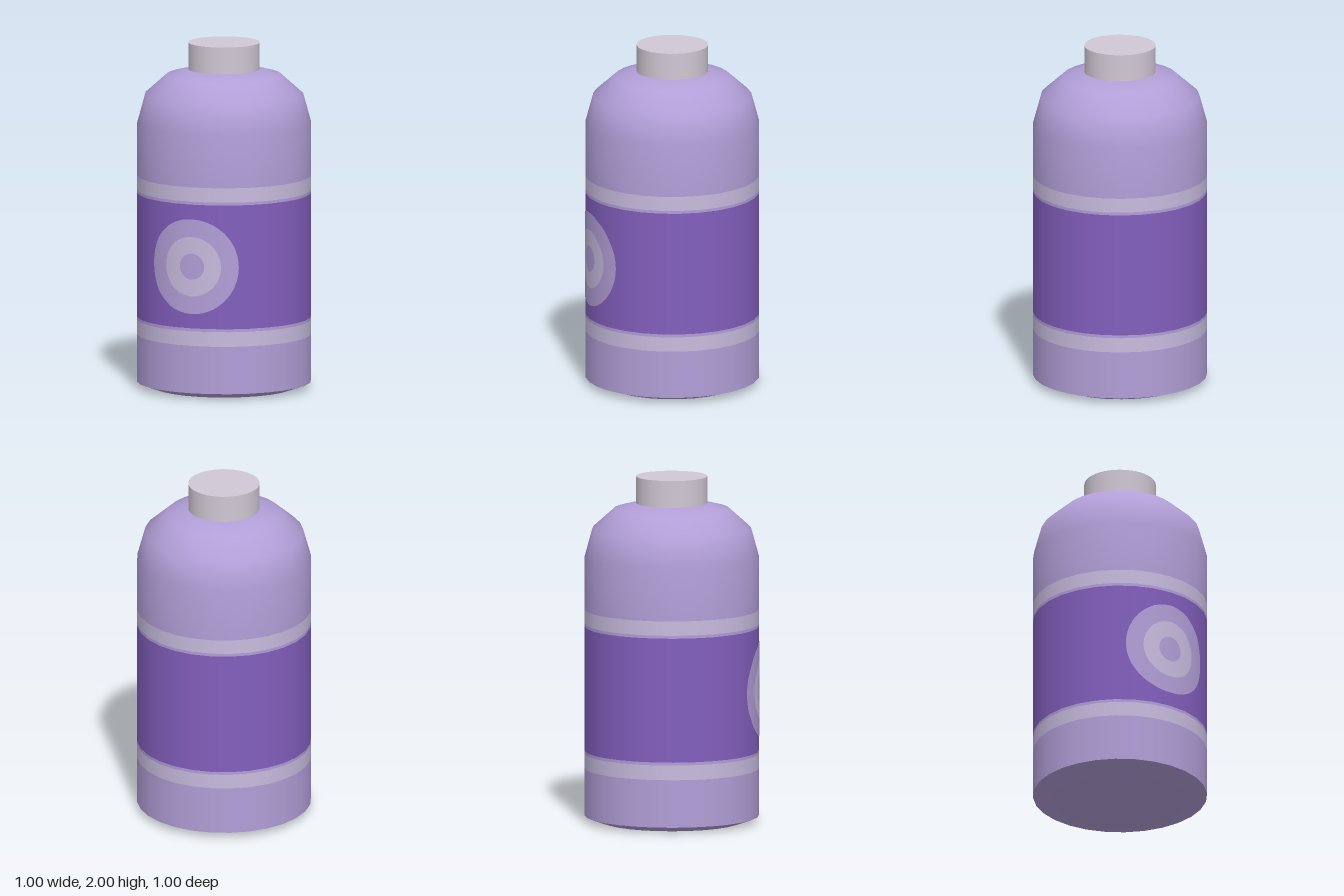
import * as THREE from 'three';

const SIDES = 28;
const R = 0.5;

function material(name, color) {
  const m = new THREE.MeshStandardMaterial({ color });
  m.name = name;
  return m;
}

export function createModel() {
  const lilac = material('lilac', 0xb29fd8);
  const purple = material('deep purple', 0x835fbe);
  const pale = material('pale lilac', 0xc8bcdf);
  const grey = material('cap grey', 0xd0c8d4);

  const bottle = new THREE.Group();
  bottle.name = 'bottle';

  function add(name, geometry, mat) {
    const mesh = new THREE.Mesh(geometry, mat);
    mesh.name = name;
    bottle.add(mesh);
    return mesh;
  }
  const lathe = (profile, sides = SIDES) =>
    new THREE.LatheGeometry(profile.map(([r, y]) => new THREE.Vector2(r, y)), sides);

  // Underside with a shallow chamfer, kept separate for a sharp rim
  add('base', lathe([[0, 0], [0.4, 0], [R, 0.035]]), lilac);

  // Straight wall, stacked from coloured bands
  const bands = [
    ['lowerBody', 0.035, 0.31, lilac],
    ['lowerStripe', 0.31, 0.395, pale],
    ['lowerLabelEdge', 0.395, 0.412, lilac],
    ['label', 0.412, 1.13, purple],
    ['upperLabelEdge', 1.13, 1.147, lilac],
    ['upperStripe', 1.147, 1.23, pale],
  ];
  for (const [name, y0, y1, mat] of bands) add(name, lathe([[R, y0], [R, y1]]), mat);

  // Rounded shoulder
  add('shoulder', lathe([
    [R, 1.23], [R, 1.535], [0.455, 1.7], [0.33, 1.812], [0.2, 1.846], [0, 1.85],
  ]), lilac);

  // Cap
  const cap = add('cap', new THREE.CylinderGeometry(0.205, 0.205, 0.155, 40), grey);
  cap.position.y = 1.9225;

  // Concentric rings wrapped onto the faceted front wall
  const step = (2 * Math.PI) / SIDES;
  function wrappedRing(inner, outer) {
    const g = new THREE.RingGeometry(inner, outer, 64, 6);
    const p = g.attributes.position;
    const n = g.attributes.normal;
    for (let i = 0; i < p.count; i++) {
      const a = p.getX(i) / R;
      const inFacet = a - (Math.floor(a / step) + 0.5) * step;
      const r = (R * Math.cos(step / 2)) / Math.cos(inFacet) + 0.003;
      p.setXYZ(i, r * Math.sin(a), p.getY(i) + 0.77, r * Math.cos(a));
      n.setXYZ(i, Math.sin(a), 0, Math.cos(a));
    }
    return g;
  }
  add('outerRing', wrappedRing(0.172, 0.275), lilac);
  add('middleRing', wrappedRing(0.075, 0.172), pale);
  add('centreDot', wrappedRing(0, 0.075), lilac);

  return bottle;
}
